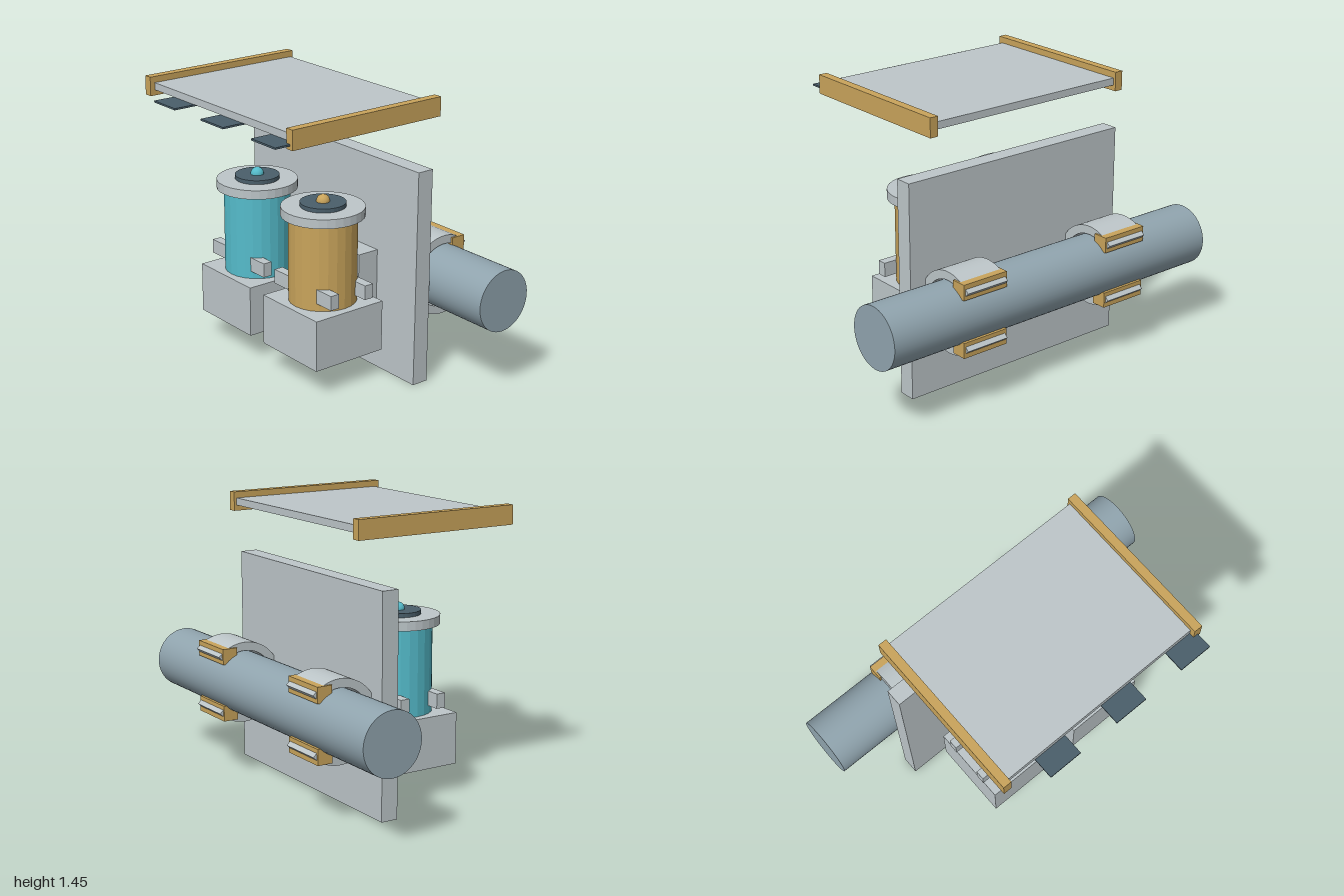
import * as THREE from 'three';

const mat = (name, color) => {
  const m = new THREE.MeshStandardMaterial({ color });
  m.name = name;
  return m;
};

export function createModel() {
  const grey = mat('light grey', 0xbdc6c9);
  const steel = mat('steel blue', 0x90a4ae);
  const dark = mat('dark slate', 0x4a5f6b);
  const gold = mat('gold', 0xc9a45b);
  const teal = mat('teal', 0x55bccb);
  const facet = (m) => {
    const f = m.clone();
    f.flatShading = true;
    return f;
  };
  const facetGold = facet(gold), facetTeal = facet(teal), facetGrey = facet(grey), facetDark = facet(dark);

  const model = new THREE.Group();
  model.name = 'pipeMountedUnit';

  const add = (parent, name, geometry, material, x, y, z) => {
    const mesh = new THREE.Mesh(geometry, material);
    mesh.name = name;
    mesh.position.set(x, y, z);
    parent.add(mesh);
    return mesh;
  };
  // Box given by its lower and upper corners
  const box = (parent, name, material, [x0, y0, z0], [x1, y1, z1]) =>
    add(parent, name, new THREE.BoxGeometry(x1 - x0, y1 - y0, z1 - z0), material,
      (x0 + x1) / 2, (y0 + y1) / 2, (z0 + z1) / 2);
  // Upright cylinder standing between two heights
  const drum = (parent, name, material, r, y0, y1, z, sides) =>
    add(parent, name, new THREE.CylinderGeometry(r, r, y1 - y0, sides), material, 0, (y0 + y1) / 2, z);

  // Horizontal pipe and mounting plate
  const pipeY = 0.502, pipeZ = -0.455;
  const pipe = add(model, 'pipe', new THREE.CylinderGeometry(0.159, 0.159, 2, 48), steel, 0, pipeY, pipeZ);
  pipe.rotation.z = Math.PI / 2;
  box(model, 'backPlate', grey, [-0.66, 0, -0.28], [0.66, 1.12, -0.19]);

  // Open ring clamps with gold end blocks
  const ring = new THREE.Shape();
  const a = Math.PI * 0.75;
  ring.absarc(0, 0, 0.21, -a, a, false);
  ring.absarc(0, 0, 0.166, a, -a, true);
  const ringGeo = new THREE.ExtrudeGeometry(ring, { depth: 0.24, bevelEnabled: false, curveSegments: 32 });
  ringGeo.translate(0, 0, -0.12);
  ringGeo.rotateY(-Math.PI / 2);
  for (const x of [-0.45, 0.45]) {
    const clamp = new THREE.Group();
    clamp.name = 'pipeClamp';
    clamp.position.set(x, pipeY, pipeZ);
    model.add(clamp);
    add(clamp, 'clampRing', ringGeo, grey, 0, 0, 0);
    for (const s of [-1, 1])
      add(clamp, 'clampBlock', new THREE.BoxGeometry(0.26, 0.08, 0.08), gold, 0, s * 0.149, -0.09);
  }

  // Two canisters, each on a base held by a bracket
  const cz = 0.08;
  for (const [x, bodyMat, knobMat] of [[-0.27, facetTeal, teal], [0.27, facetGold, gold]]) {
    const unit = new THREE.Group();
    unit.name = 'canisterUnit';
    unit.position.x = x;
    model.add(unit);
    box(unit, 'base', grey, [-0.214, 0.15, cz - 0.21], [0.214, 0.415, cz + 0.21]);
    box(unit, 'bracket', grey, [-0.1, 0.29, -0.19], [0.1, 0.64, -0.07]);
    drum(unit, 'canister', bodyMat, 0.173, 0.415, 0.862, cz, 24);
    drum(unit, 'flange', facetGrey, 0.21, 0.86, 0.907, cz, 32);
    drum(unit, 'lidDisc', facetDark, 0.115, 0.907, 0.928, cz, 32);
    add(unit, 'knob', new THREE.SphereGeometry(0.034, 20, 14), knobMat, 0, 0.931, cz);
    for (const sx of [-1, 1])
      for (const sz of [-1, 1])
        add(unit, 'lug', new THREE.BoxGeometry(0.123, 0.075, 0.05), grey, sx * 0.163, 0.493, cz - 0.003 + sz * 0.108);
  }

  // Canopy panel with gold side rails
  const canopy = new THREE.Group();
  canopy.name = 'canopy';
  model.add(canopy);
  box(canopy, 'panel', grey, [-0.565, 1.383, -0.36], [0.565, 1.42, 0.5]);
  for (const s of [-1, 1])
    add(canopy, 'sideRail', new THREE.BoxGeometry(0.045, 0.098, 0.9), gold, s * 0.58, 1.403, 0.076);

  // Staggered thin tiles beneath the panel
  const tileGeo = new THREE.BoxGeometry(0.18, 0.009, 0.18);
  for (let row = 0; row < 4; row++)
    for (let i = 0; i < 3; i++)
      add(canopy, 'tile', tileGeo, dark, (row % 2 ? -0.505 : -0.305) + i * 0.4, 1.377, 0.52 - row * 0.2);

  return model;
}
